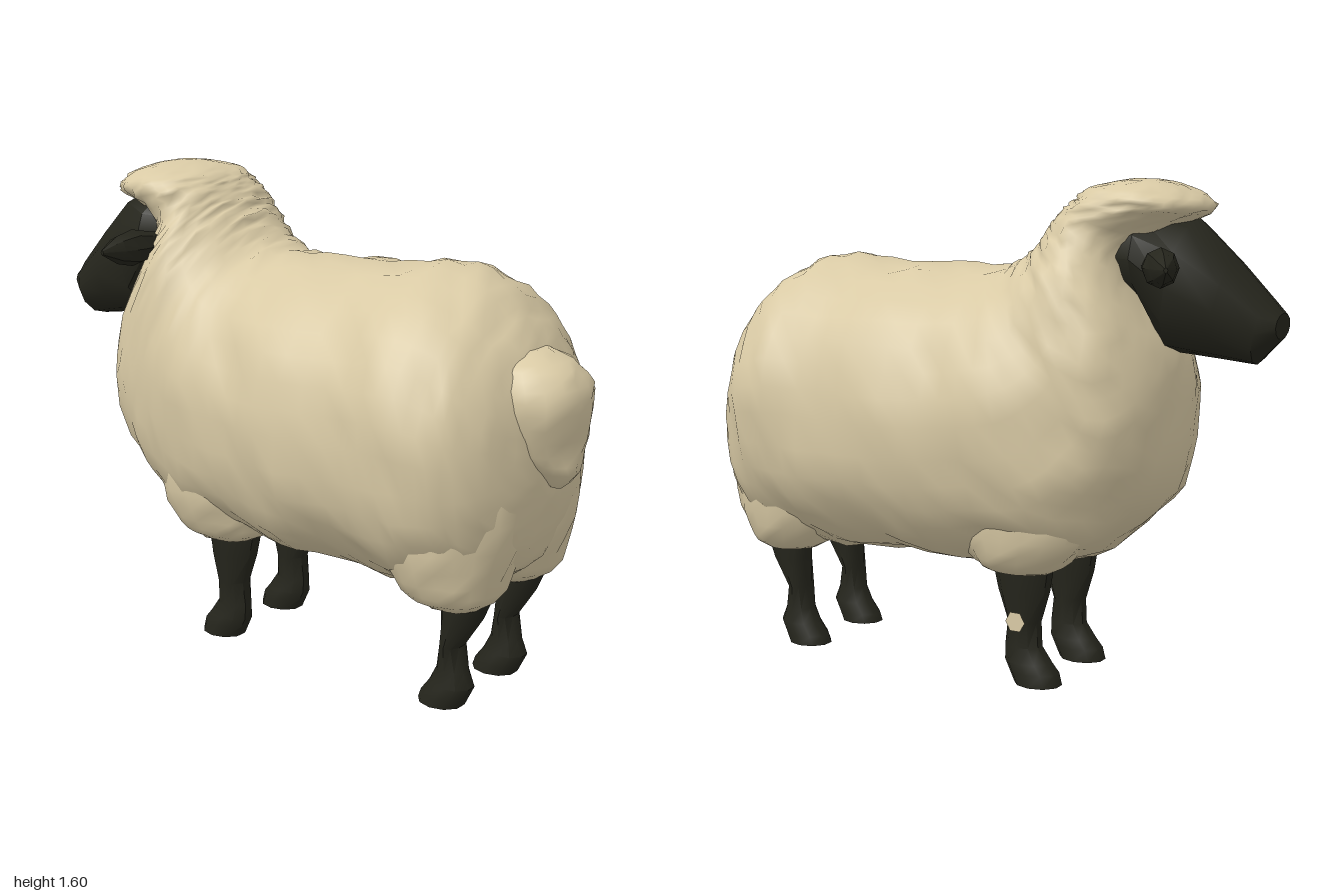
import * as THREE from 'three';
import { toCreasedNormals } from 'three/addons/utils/BufferGeometryUtils.js';

const wool = new THREE.MeshStandardMaterial({ color: 0xd9caa5 });
wool.name = 'cream wool';
const dark = new THREE.MeshStandardMaterial({ color: 0x25251c });
dark.name = 'dark skin';

// Smooth interpolation between ring descriptions
function refine(rings, steps) {
  const out = [];
  const at = i => rings[Math.max(0, Math.min(rings.length - 1, i))];
  for (let i = 0; i < rings.length - 1; i++) {
    for (let s = 0; s < steps; s++) {
      const t = s / steps;
      out.push(rings[i].map((b, k) => {
        const a = at(i - 1)[k], c = at(i + 1)[k], d = at(i + 2)[k];
        return b + 0.5 * t * (c - a + t * (2 * a - 5 * b + 4 * c - d + t * (3 * (b - c) + d - a)));
      }));
    }
  }
  out.push(rings[rings.length - 1]);
  return out;
}

// Repeatable value from 0 to 1 for a vertex
function hash(i, j) {
  const s = Math.sin(i * 127.1 + j * 311.7) * 43758.5453;
  return s - Math.floor(s);
}

// Vertical folds and small lumps of the fleece
function fleece(x, y, z, i, j) {
  return 0.007 * Math.sin(x * 15 + 1.6 * Math.sin(y * 5 + z * 2))
    + 0.005 * Math.sin(y * 17 + x * 7) * Math.cos(z * 15)
    + 0.02 * (hash(i, j) - 0.5);
}

// Closed loft. Ring: [x1, y1, x2, y2, half width in z, z centre];
// the two points are opposite ends of the ring in the side plane.
function loft(rings, sides, { bulge = null, square = 1 } = {}) {
  const pos = [], idx = [], n = rings.length;
  rings.forEach(([x1, y1, x2, y2, hw, zc], i) => {
    for (let j = 0; j < sides; j++) {
      const a = (j / sides) * Math.PI * 2, s = Math.sin(a), c = Math.cos(a);
      const p = s < 0 ? square : 1;
      const u = Math.sign(s) * Math.abs(s) ** p, v = Math.sign(c) * Math.abs(c) ** p;
      const dx = (x1 - x2) / 2 * u, dy = (y1 - y2) / 2 * u, dz = hw * v;
      const x = (x1 + x2) / 2 + dx, y = (y1 + y2) / 2 + dy, z = zc + dz;
      const len = Math.hypot(dx, dy, dz) || 1;
      const k = 1 + (bulge ? Math.min(1, len * 6) * bulge(x, y, z, i, j) / len : 0);
      pos.push(x + dx * (k - 1), y + dy * (k - 1), z + dz * (k - 1));
    }
  });
  for (let i = 0; i < n - 1; i++) {
    for (let j = 0; j < sides; j++) {
      const a = i * sides + j, b = i * sides + (j + 1) % sides;
      idx.push(a, a + sides, b, b, a + sides, b + sides);
    }
  }
  // End caps
  [rings[0], rings[n - 1]].forEach(([x1, y1, x2, y2, , zc], end) => {
    const m = pos.length / 3, o = end * (n - 1) * sides;
    pos.push((x1 + x2) / 2, (y1 + y2) / 2, zc);
    for (let j = 0; j < sides; j++) {
      const a = o + j, b = o + (j + 1) % sides;
      if (end) idx.push(m, b, a); else idx.push(m, a, b);
    }
  });
  const g = new THREE.BufferGeometry();
  g.setAttribute('position', new THREE.Float32BufferAttribute(pos, 3));
  g.setIndex(idx);
  g.computeVertexNormals();
  return g;
}

export function createModel() {
  const sheep = new THREE.Group();
  sheep.name = 'sheep';
  const add = (name, geometry, material) => {
    const mesh = new THREE.Mesh(geometry, material);
    mesh.name = name;
    sheep.add(mesh);
    return mesh;
  };
  const woolly = (name, rings, sides, steps, square = 1) =>
    add(name, loft(refine(rings, steps), sides, { bulge: fleece, square }), wool);
  const bare = (name, rings, sides, crease = 0.7) =>
    add(name, toCreasedNormals(loft(rings, sides), crease), dark);
  // Ring shorthands: upright [x, top, bottom, width], level [y, front, back, width]
  const upright = ([x, t, b, w]) => [x, t, x, b, w, -0.005];
  const level = z => ([y, f, b, w]) => [f, y, b, y, w, z];

  // One fleece: hood over the face, neck and chest fanning out, then trunk and rump
  woolly('bodyFleece', [
    [-0.54, 1.60, -0.62, 1.598, 0.04, 0], [-0.49, 1.59, -0.68, 1.585, 0.13, 0],
    [-0.43, 1.575, -0.75, 1.55, 0.205, 0.005], [-0.39, 1.555, -0.775, 1.505, 0.24, 0.01],
    [-0.37, 1.535, -0.70, 1.465, 0.24, 0.01], [-0.35, 1.515, -0.59, 1.39, 0.235, 0],
    [-0.33, 1.49, -0.60, 1.25, 0.27, 0], [-0.31, 1.47, -0.68, 1.07, 0.315, 0],
    [-0.285, 1.445, -0.705, 0.90, 0.35, 0], [-0.26, 1.415, -0.69, 0.68, 0.375, 0],
    [-0.225, 1.38, -0.59, 0.52, 0.395, 0], [-0.18, 1.35, -0.42, 0.41, 0.425, -0.005],
    ...[
      [-0.10, 1.335, 0.37, 0.445], [0.10, 1.325, 0.36, 0.465], [0.35, 1.335, 0.36, 0.455],
      [0.55, 1.345, 0.36, 0.46], [0.68, 1.30, 0.38, 0.44], [0.77, 1.21, 0.42, 0.385],
      [0.83, 1.13, 0.50, 0.29], [0.87, 1.02, 0.62, 0.17], [0.885, 0.95, 0.70, 0.08],
    ].map(upright),
  ], 36, 3, 0.86);

  // Woolly tail, growing out of the rump and hanging to a point
  woolly('tail', [
    [0.72, 0.88, 0.92, 0.015], [0.77, 0.82, 0.965, 0.06], [0.83, 0.74, 0.965, 0.125],
    [0.92, 0.70, 0.98, 0.17], [1.00, 0.68, 0.99, 0.18], [1.06, 0.66, 0.965, 0.165],
    [1.10, 0.66, 0.92, 0.13], [1.13, 0.66, 0.85, 0.08],
  ].map(level(0.012)), 18, 2);

  // Head with tapering muzzle, turned slightly to one side
  bare('head', [
    [-1.00, 1.20, -0.995, 1.12, 0.065, 0.08], [-0.965, 1.24, -0.92, 1.04, 0.105, 0.08],
    [-0.86, 1.36, -0.80, 1.055, 0.14, 0.06], [-0.74, 1.48, -0.66, 1.07, 0.18, 0.045],
    [-0.60, 1.50, -0.60, 1.22, 0.20, 0.03], [-0.45, 1.45, -0.45, 1.28, 0.12, 0],
  ], 12);

  // Ears
  const earRings = [
    [0, 0.03, 0.04], [0.10, 0.045, 0.05], [0.18, 0.06, 0.055],
    [0.25, 0.045, 0.04], [0.32, 0.008, 0.006],
  ].map(([x, h, w]) => [x, h, x, -h, w, 0]);
  const leftEar = bare('leftEar', earRings, 8);
  leftEar.position.set(-0.52, 1.34, 0.16);
  leftEar.rotation.y = -1.53;
  const rightEar = bare('rightEar', earRings, 8);
  rightEar.position.set(-0.64, 1.34, -0.065);
  rightEar.rotation.y = 2.09;

  // Legs with hooves, and the wool around the top of each
  for (const [side, s] of [['left', 1], ['right', -1]]) {
    bare(side + 'FrontLeg', [
      [0, -0.38, -0.22, 0.067], [0.04, -0.37, -0.20, 0.065], [0.07, -0.345, -0.185, 0.06],
      [0.12, -0.31, -0.185, 0.05], [0.20, -0.305, -0.195, 0.055], [0.30, -0.335, -0.16, 0.065],
      [0.45, -0.36, -0.125, 0.075],
    ].map(level(s * 0.158)), 10);
    bare(side + 'HindLeg', [
      [0, 0.53, 0.685, 0.067], [0.03, 0.54, 0.70, 0.065], [0.07, 0.57, 0.72, 0.06],
      [0.12, 0.595, 0.70, 0.05], [0.20, 0.61, 0.68, 0.055], [0.30, 0.61, 0.745, 0.065],
      [0.45, 0.60, 0.81, 0.075],
    ].map(level(s * 0.158)), 10);
    woolly(side + 'ShoulderFleece', [
      [0.375, -0.35, -0.14, 0.08], [0.42, -0.42, -0.08, 0.125], [0.55, -0.51, -0.03, 0.165],
      [0.80, -0.52, -0.04, 0.165], [1.00, -0.44, -0.12, 0.10],
    ].map(level(s * 0.19)), 20, 3);
    woolly(side + 'HaunchFleece', [
      [0.345, 0.57, 0.75, 0.10], [0.40, 0.49, 0.80, 0.165], [0.55, 0.42, 0.84, 0.205],
      [0.80, 0.42, 0.86, 0.20], [1.00, 0.48, 0.80, 0.14],
    ].map(level(s * 0.165)), 20, 3);
  }

  // Pale tuft on the outside of one front leg
  const tuft = add('legWoolPatch', new THREE.CircleGeometry(0.035, 6), wool);
  tuft.position.set(-0.25, 0.21, -0.222);
  tuft.rotation.y = Math.PI;

  return sheep;
}
